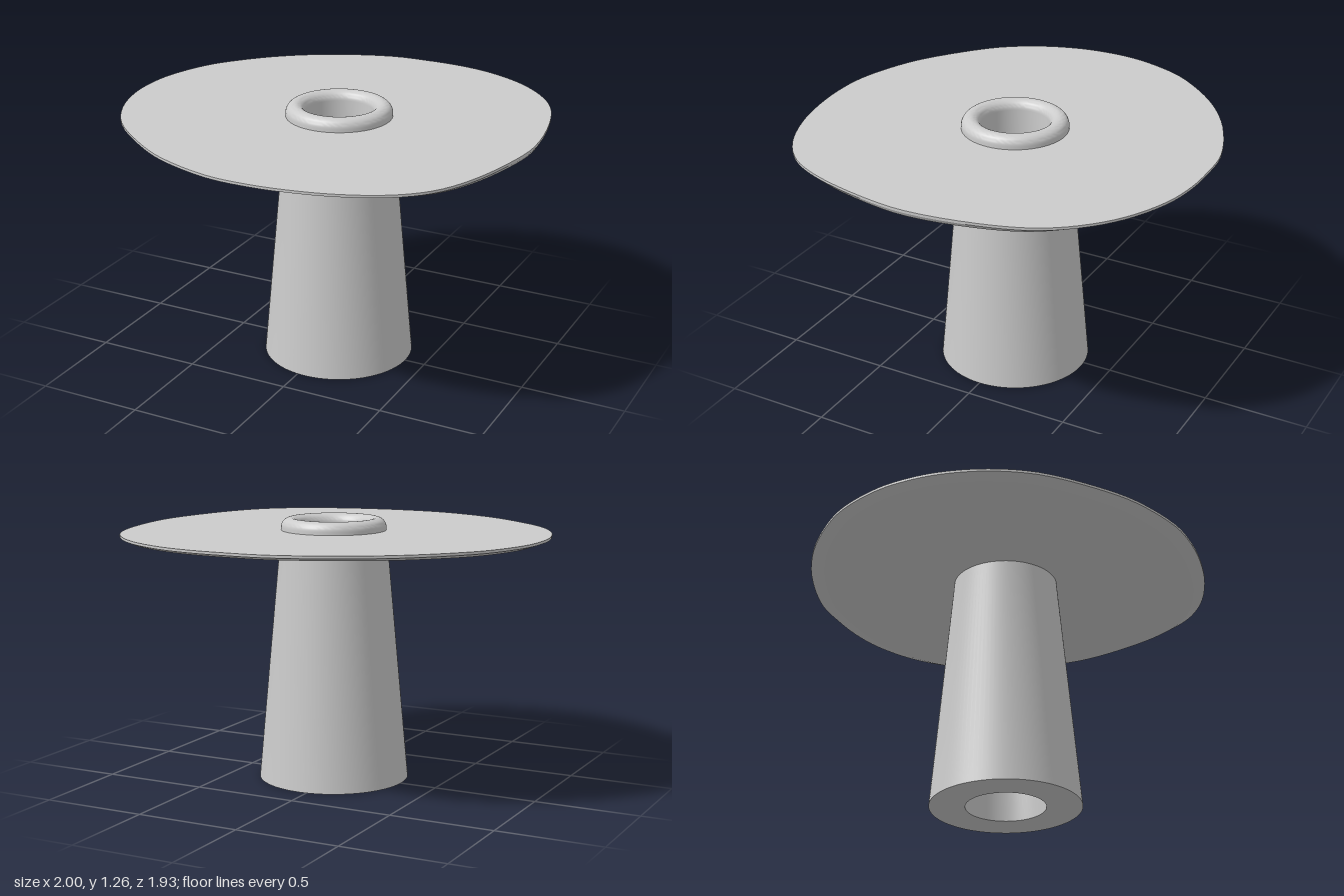
import * as THREE from 'three';
import { toCreasedNormals } from 'three/addons/utils/BufferGeometryUtils.js';

const AXIS_X = 0.04; // the stem stands slightly off the middle of the top

// Hollow tapered stem that ends in a rounded rim
function createStem(material) {
  const profile = [[0.19, 0], [0.36, 0], [0.25, 1.2]];
  const steps = 16;
  for (let i = 0; i <= steps; i++) {
    const a = (i / steps) * Math.PI;
    profile.push([0.206 + 0.044 * Math.cos(a), 1.214 + 0.044 * Math.sin(a)]);
  }
  profile.push([0.19, 0]);
  const lathe = new THREE.LatheGeometry(profile.map(([r, y]) => new THREE.Vector2(r, y)), 96);
  const stem = new THREE.Mesh(toCreasedNormals(lathe, 0.6), material);
  stem.name = 'stem';
  stem.position.x = AXIS_X;
  return stem;
}

// Thin pebble-shaped top, its edge undercut by a bevel
function createTableTop(material) {
  const outline = [
    [0.06, -0.965], [0.235, -0.96], [0.41, -0.925], [0.615, -0.83], [0.77, -0.7], [0.877, -0.55],
    [0.955, -0.32], [1, 0], [0.975, 0.23], [0.9, 0.51], [0.81, 0.68], [0.675, 0.8], [0.465, 0.895],
    [0.245, 0.945], [0.06, 0.96], [-0.12, 0.947], [-0.395, 0.855], [-0.58, 0.74], [-0.8, 0.55],
    [-0.92, 0.36], [-0.985, 0.16], [-1, 0], [-0.985, -0.16], [-0.905, -0.385], [-0.8, -0.535],
    [-0.635, -0.7], [-0.42, -0.84], [-0.13, -0.95],
  ].map(([x, z]) => new THREE.Vector3(x, 0, z));
  const count = 112;
  const edge = new THREE.CatmullRomCurve3(outline, true).getPoints(count).slice(0, count);

  // Rings from the underside, round the edge, to the upper face
  const hole = (p) => {
    const a = Math.atan2(p.z, p.x - AXIS_X);
    return [AXIS_X + 0.21 * Math.cos(a), 0.21 * Math.sin(a)];
  };
  const rim = (p) => [p.x, p.z];
  const inset = (p) => [p.x * 0.97 + 0.02, p.z * 0.93];
  const rings = [[hole, 1.17], [inset, 1.17], [rim, 1.188], [rim, 1.2], [hole, 1.2]];

  const positions = [];
  const index = [];
  rings.forEach(([place, y], r) => {
    edge.forEach((p, i) => {
      const [x, z] = place(p);
      positions.push(x, y, z);
      if (r === rings.length - 1) return;
      const a = r * count + i;
      const b = r * count + ((i + 1) % count);
      index.push(a, a + count, b, b, a + count, b + count);
    });
  });
  const geometry = new THREE.BufferGeometry();
  geometry.setAttribute('position', new THREE.Float32BufferAttribute(positions, 3));
  geometry.setIndex(index);
  const top = new THREE.Mesh(toCreasedNormals(geometry, 0.2), material);
  top.name = 'tableTop';
  return top;
}

export function createModel() {
  const material = new THREE.MeshStandardMaterial({ color: 0xcccccc });
  const table = new THREE.Group();
  table.name = 'table';
  table.add(createStem(material), createTableTop(material));
  return table;
}
